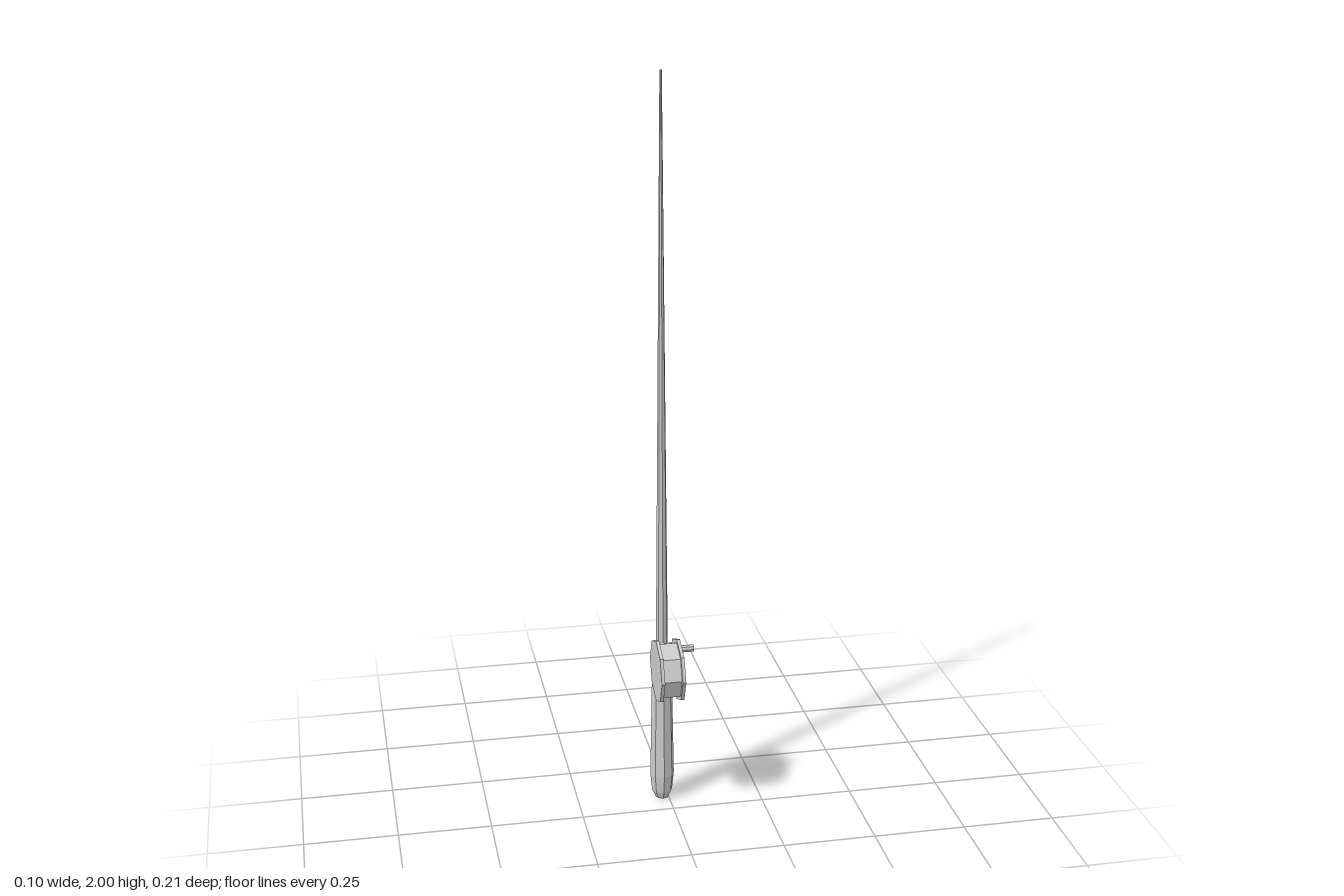
import * as THREE from 'three';

const SIDES = 8;
const ROD_X = -0.018, ROD_Z = -0.071;
const REEL_Y = 0.427, REEL_Z = 0.015;

export function createModel() {
  const model = new THREE.Group();
  model.name = 'fishingRod';
  const material = new THREE.MeshStandardMaterial({ color: 0xcccccc, flatShading: true });

  const add = (name, geometry, x, y, z) => {
    const mesh = new THREE.Mesh(geometry, material);
    mesh.name = name;
    mesh.position.set(x, y, z);
    model.add(mesh);
  };
  // Turned part standing upright, from [radius, height] pairs
  const turned = (profile) =>
    new THREE.LatheGeometry(profile.map(([r, y]) => new THREE.Vector2(r, y)), SIDES);
  // Faceted disc or pin lying along x
  const disc = (radius, width) =>
    new THREE.CylinderGeometry(radius, radius, width, SIDES).rotateZ(Math.PI / 2);

  // Grip with rounded butt and tapered neck
  add('grip', turned([
    [0, 0.005], [0.018, 0.008], [0.028, 0.03], [0.033, 0.08],
    [0.028, 0.35], [0.022, 0.395], [0.015, 0.41], [0, 0.41],
  ]), ROD_X, -0.005, ROD_Z);

  // Long tapering pole
  add('pole', turned([[0, 0.38], [0.017, 0.38], [0.003, 2], [0, 2]]), ROD_X, 0, ROD_Z);

  // Reel: spool between two flanges
  add('spool', disc(0.077, 0.05), ROD_X, REEL_Y, REEL_Z);
  for (const [name, side] of [['leftFlange', 1], ['rightFlange', -1]]) {
    add(name, disc(0.087, 0.009), ROD_X + side * 0.028, REEL_Y, REEL_Z);
  }

  // Winding knob on the left flange
  add('windingKnob', disc(0.01, 0.041), 0.0305, 0.485, REEL_Z - 0.001);

  return model;
}
